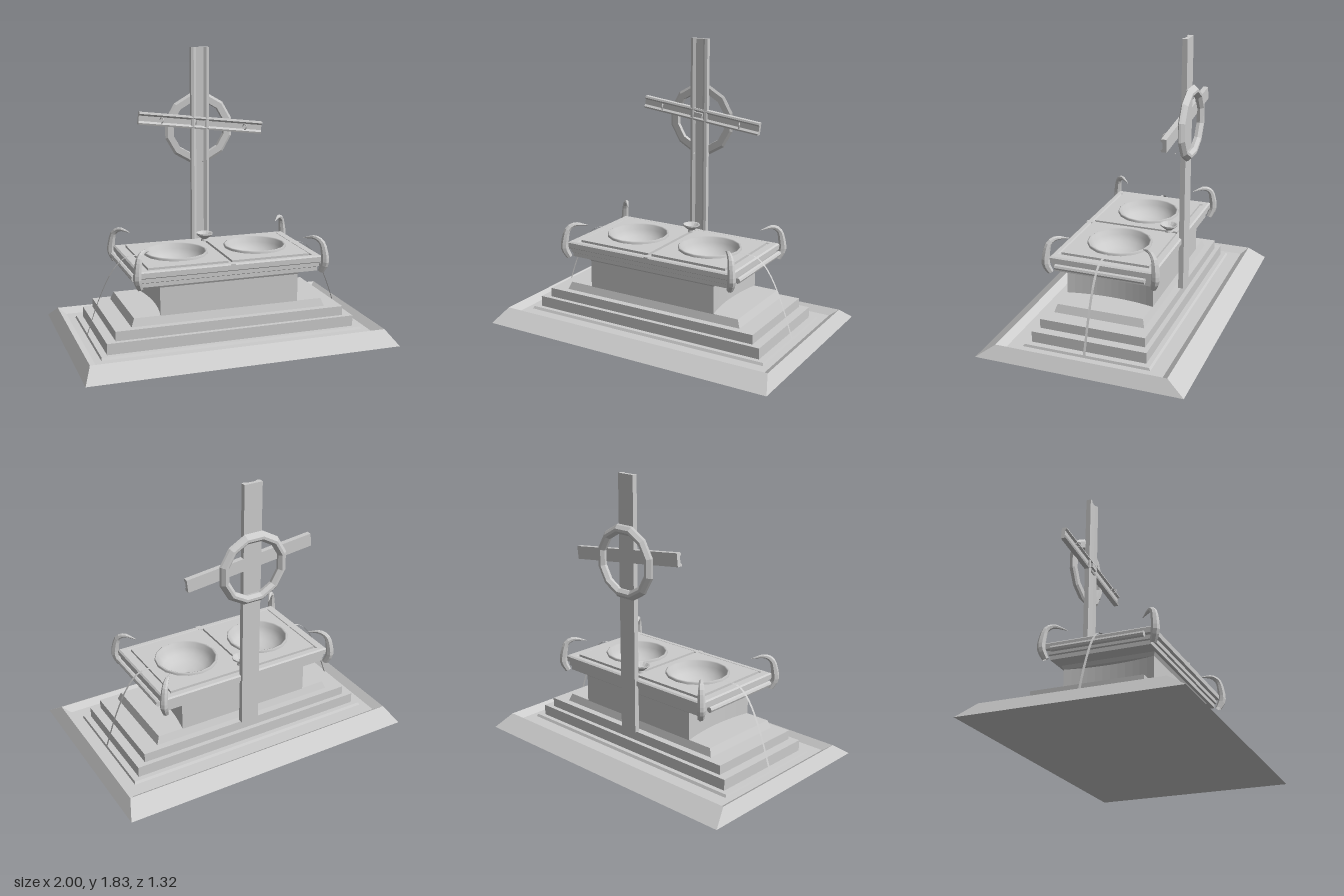
import * as THREE from 'three';

const flat = new THREE.MeshStandardMaterial({ color: 0xcccccc, flatShading: true, side: THREE.DoubleSide });
const smooth = new THREE.MeshStandardMaterial({ color: 0xcccccc, side: THREE.DoubleSide });

function add(parent, name, geometry, material = flat) {
  const mesh = new THREE.Mesh(geometry, material);
  mesh.name = name;
  parent.add(mesh);
  return mesh;
}

// Stack of rectangles [halfX, y, halfZ] joined by flat sides
function rectLoft(levels, capBottom = true, capTop = true) {
  const pos = [];
  const ring = ([x, y, z]) => [[x, y, z], [x, y, -z], [-x, y, -z], [-x, y, z]];
  const quad = (a, b, c, d) => pos.push(...a, ...b, ...c, ...a, ...c, ...d);
  for (let i = 0; i < levels.length - 1; i++) {
    const lo = ring(levels[i]), hi = ring(levels[i + 1]);
    for (let k = 0; k < 4; k++) {
      const n = (k + 1) % 4;
      quad(lo[k], lo[n], hi[n], hi[k]);
    }
  }
  if (capBottom) quad(...ring(levels[0]).reverse());
  if (capTop) quad(...ring(levels[levels.length - 1]));
  const g = new THREE.BufferGeometry();
  g.setAttribute('position', new THREE.Float32BufferAttribute(pos, 3));
  g.computeVertexNormals();
  return g;
}

// Curved tube whose radius changes along its length
function taperedTube(points, radii, sides, steps) {
  const curve = new THREE.CatmullRomCurve3(points);
  const g = new THREE.TubeGeometry(curve, steps, 1, sides, false);
  const p = g.attributes.position, v = new THREE.Vector3();
  for (let i = 0; i <= steps; i++) {
    const centre = curve.getPointAt(i / steps);
    const f = (i / steps) * (radii.length - 1);
    const k = Math.min(Math.floor(f), radii.length - 2);
    const r = THREE.MathUtils.lerp(radii[k], radii[k + 1], f - k);
    for (let j = 0; j <= sides; j++) {
      const n = i * (sides + 1) + j;
      v.fromBufferAttribute(p, n).sub(centre).multiplyScalar(r).add(centre);
      p.setXYZ(n, v.x, v.y, v.z);
    }
  }
  g.computeVertexNormals();
  return g;
}

function rectShape(x0, x1, z) {
  return new THREE.Shape([[x0, -z], [x1, -z], [x1, z], [x0, z]].map(([x, y]) => new THREE.Vector2(x, y)));
}

function bowlHole(x) {
  const pts = [];
  for (let i = 0; i < 16; i++) {
    const a = (i / 16) * Math.PI * 2;
    pts.push(new THREE.Vector2(x + 0.195 * Math.sin(a), 0.195 * Math.cos(a)));
  }
  return new THREE.Path(pts);
}

// Beam along y with a bevelled channel down its front
function beam(length, half) {
  const s = new THREE.Shape();
  const c = half * 0.72, f = half * 0.42;
  [[-half, -0.355], [-half, -0.322], [-c, -0.318], [-f, -0.33], [f, -0.33], [c, -0.318], [half, -0.322], [half, -0.355]]
    .forEach(([x, z], i) => (i ? s.lineTo(x, -z) : s.moveTo(x, -z)));
  const g = new THREE.ExtrudeGeometry(s, { depth: length, bevelEnabled: false });
  return g.rotateX(-Math.PI / 2);
}

function buildBase(root) {
  const base = new THREE.Group();
  base.name = 'steppedBase';
  root.add(base);
  // Sloped plinth with a sunken gutter
  add(base, 'groundPlinth', rectLoft([[1, 0, 0.66], [0.95, 0.08, 0.545], [0.9, 0.045, 0.5], [0.855, 0.045, 0.41], [0.85, 0.06, 0.4]]));
  add(base, 'lowerStep', rectLoft([[0.81, 0.04, 0.37], [0.81, 0.13, 0.37]]));
  add(base, 'middleStep', rectLoft([[0.75, 0.13, 0.34], [0.75, 0.19, 0.34]]));
  add(base, 'pedestalFoot', rectLoft([[0.64, 0.19, 0.295], [0.62, 0.24, 0.28]]));
  // Pedestal with gently hollowed ends
  const s = new THREE.Shape();
  s.moveTo(-0.455, -0.285);
  s.lineTo(0.455, -0.285);
  s.quadraticCurveTo(0.39, 0, 0.455, 0.285);
  s.lineTo(-0.455, 0.285);
  s.quadraticCurveTo(-0.39, 0, -0.455, -0.285);
  const g = new THREE.ExtrudeGeometry(s, { depth: 0.2, bevelEnabled: false, curveSegments: 12 });
  add(base, 'pedestal', g.rotateX(-Math.PI / 2).translate(0, 0.24, 0));
  add(base, 'pedestalCollar', rectLoft([[0.455, 0.42, 0.285], [0.47, 0.44, 0.295]]));
}

function buildTable(root) {
  const table = new THREE.Group();
  table.name = 'tableTop';
  root.add(table);
  add(table, 'mouldedSlab', rectLoft([
    [0.575, 0.44, 0.315], [0.575, 0.465, 0.315], [0.585, 0.47, 0.325], [0.585, 0.495, 0.325],
    [0.6, 0.503, 0.34], [0.6, 0.535, 0.34], [0.59, 0.543, 0.33], [0.545, 0.543, 0.305], [0.54, 0.535, 0.3],
  ], true, false));
  const floor = rectShape(-0.54, 0.54, 0.3);
  floor.holes.push(bowlHole(-0.27), bowlHole(0.27));
  add(table, 'slabFloor', new THREE.ShapeGeometry(floor).rotateX(-Math.PI / 2).translate(0, 0.535, 0));

  const bowlProfile = [[0.205, 0.535], [0.205, 0.562], [0.198, 0.567], [0.188, 0.562], [0.18, 0.53], [0.155, 0.495], [0.115, 0.467], [0.06, 0.452], [0, 0.448]]
    .map(([r, y]) => new THREE.Vector2(r, y));
  for (const side of [-1, 1]) {
    // Raised panels part along a central drain
    const x = 0.27 * side;
    const panel = rectShape(Math.min(0.012 * side, 0.53 * side), Math.max(0.012 * side, 0.53 * side), 0.285);
    panel.holes.push(bowlHole(x));
    const g = new THREE.ExtrudeGeometry(panel, { depth: 0.015, bevelEnabled: false });
    add(table, 'topPanel', g.rotateX(-Math.PI / 2).translate(0, 0.535, 0));
    add(table, 'basin', new THREE.LatheGeometry(bowlProfile, 16), smooth).position.x = x;

    // End rails
    const rail = add(table, 'endRail', new THREE.CylinderGeometry(0.018, 0.018, 0.58, 8).rotateX(Math.PI / 2));
    rail.position.set(0.618 * side, 0.49, 0);

    // Thin ribbon of liquid falling from each basin
    const path = new THREE.CatmullRomCurve3([[0.48, 0.556], [0.6, 0.55], [0.68, 0.48], [0.77, 0.31], [0.86, 0.06]]
      .map(([px, py]) => new THREE.Vector3(px * side, py, 0)));
    const ribbon = new THREE.PlaneGeometry(1, 0.015, 14, 1);
    const p = ribbon.attributes.position;
    for (let i = 0; i < p.count; i++) {
      const c = path.getPoint(THREE.MathUtils.clamp(p.getX(i) + 0.5, 0, 1));
      p.setXYZ(i, c.x, c.y, p.getY(i) - 0.01 * -1 - 0.005);
    }
    ribbon.computeVertexNormals();
    add(table, 'fallingStream', ribbon);

    // Curved horns at the corners
    for (const end of [-1, 1]) {
      const pts = [[0.592, 0.44, 0.335], [0.612, 0.5, 0.355], [0.608, 0.57, 0.352], [0.595, 0.63, 0.338], [0.565, 0.656, 0.305], [0.51, 0.643, 0.24]]
        .map(([hx, hy, hz]) => new THREE.Vector3(hx * side, hy, hz * end));
      add(table, 'cornerHorn', taperedTube(pts, [0.02, 0.027, 0.024, 0.019, 0.012, 0.002], 7, 14));
    }
  }
  add(table, 'frontSpout', new THREE.BoxGeometry(0.03, 0.025, 0.05)).position.set(0, 0.53, 0.315);

  // Small dish at the foot of the cross
  const dish = [[0, 0.55], [0.025, 0.55], [0.02, 0.565], [0.056, 0.595], [0.056, 0.604], [0.048, 0.602], [0.025, 0.582], [0, 0.577]]
    .map(([r, y]) => new THREE.Vector2(r, y));
  add(table, 'smallDish', new THREE.LatheGeometry(dish, 12)).position.z = -0.235;
}

function buildCross(root) {
  const cross = new THREE.Group();
  cross.name = 'standingCross';
  root.add(cross);
  add(cross, 'crossPost', beam(1.64, 0.061)).position.y = 0.19;

  // Tilted crossbar with its fastenings
  const arm = new THREE.Group();
  arm.name = 'crossArm';
  arm.position.set(0.01, 1.33, 0);
  arm.rotation.z = -0.117;
  cross.add(arm);
  add(arm, 'crossBar', beam(0.86, 0.041).translate(0, -0.43, 0).rotateZ(Math.PI / 2));
  add(arm, 'centrePlate', new THREE.BoxGeometry(0.06, 0.032, 0.015)).position.set(-0.01, 0, -0.318);
  for (const x of [-0.28, 0.3]) {
    const hook = add(arm, 'wireHook', new THREE.TorusGeometry(0.018, 0.004, 5, 10, Math.PI * 1.5));
    hook.position.set(x, 0, -0.306);
    hook.rotation.y = Math.PI / 2 + 0.4;
  }

  // Twelve-sided halo ring
  const ring = [[0.18, 0], [0.222, 0], [0.238, 0.01], [0.232, 0.022], [0.212, 0.042], [0.195, 0.042], [0.176, 0.022], [0.18, 0]]
    .map(([r, y]) => new THREE.Vector2(r, y));
  const halo = new THREE.LatheGeometry(ring, 12).rotateY(Math.PI / 12).rotateX(-Math.PI / 2);
  add(cross, 'haloRing', halo).position.set(0, 1.295, -0.352);
  add(cross, 'smallNail', new THREE.ConeGeometry(0.005, 0.014, 5).rotateX(Math.PI / 2)).position.set(0, 1.085, -0.265);
}

export function createModel() {
  const root = new THREE.Group();
  root.name = 'altar';
  buildBase(root);
  buildTable(root);
  buildCross(root);
  return root;
}
